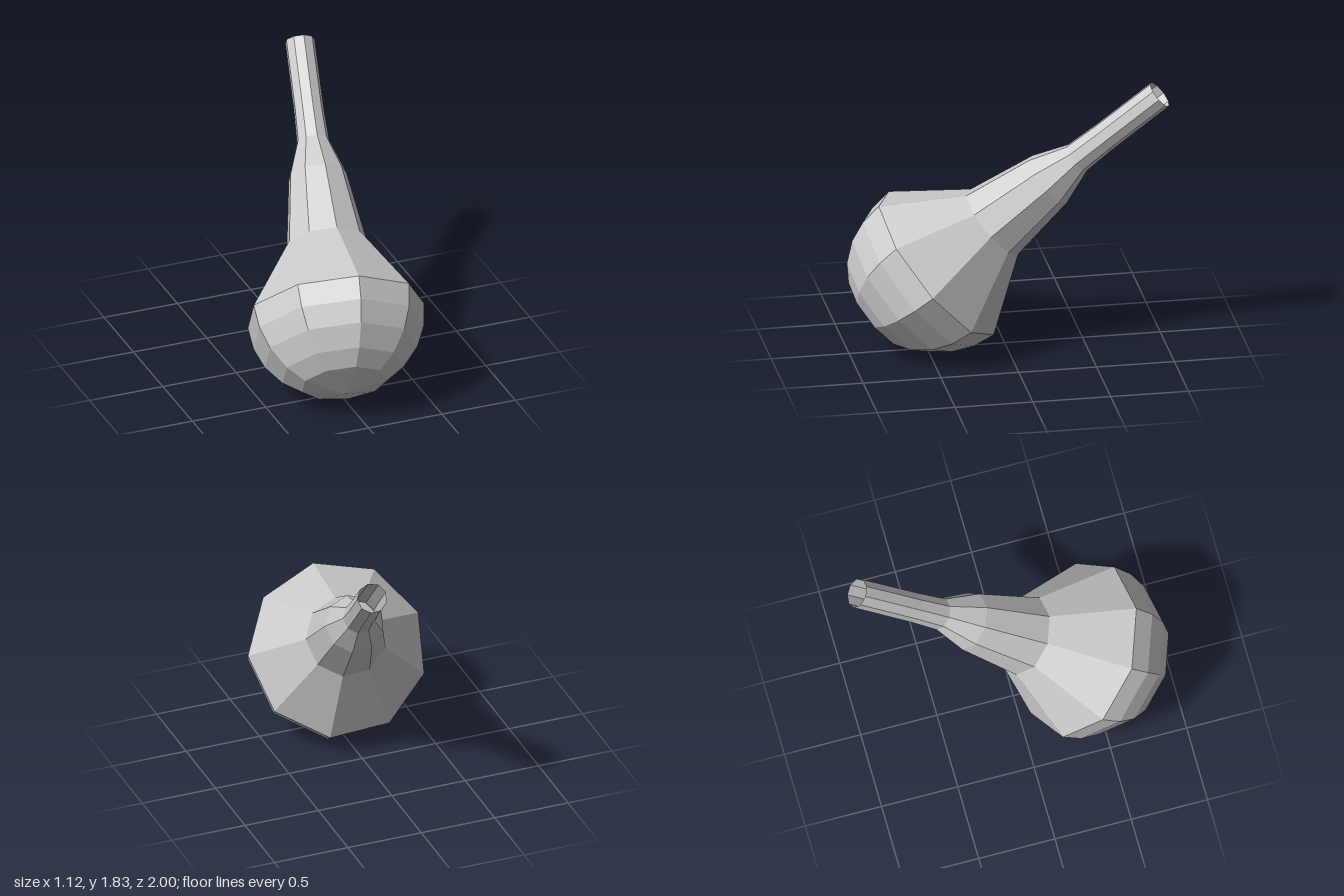
import * as THREE from 'three';

const SIDES = 9;
const BULB_RADIUS = 0.572;

export function createModel() {
  const group = new THREE.Group();
  group.name = 'bulbSyringe';

  // Profile along the axis: rounded bulb from its pole to its widest ring
  const profile = [0, 29, 43.5, 60, 75, 90].map((deg) => {
    const a = THREE.MathUtils.degToRad(deg);
    return new THREE.Vector2(BULB_RADIUS * Math.sin(a), BULB_RADIUS * (1 - Math.cos(a)));
  });
  // Tapering shoulder, then the narrow spout with an open end
  for (const [r, t] of [[0.259, 1.033], [0.188, 1.495], [0.104, 1.73], [0.096, 1.95], [0.095, 2.417]]) {
    profile.push(new THREE.Vector2(r, t));
  }

  const material = new THREE.MeshStandardMaterial({
    color: 0xcccccc, flatShading: true, side: THREE.DoubleSide,
  });
  const body = new THREE.Mesh(new THREE.LatheGeometry(profile, SIDES), material);
  body.name = 'bulbAndSpout';

  // Lean the axis back and sideways, with one corner of the rings facing up
  const pole = new THREE.Vector3(-0.1, 0.2, 0.86);
  const axis = new THREE.Vector3(0.31, 1.76, -0.94).sub(pole).normalize();
  const corner = new THREE.Vector3(0.013, 0.427, 0.375);
  corner.addScaledVector(axis, -corner.dot(axis)).normalize();
  const across = new THREE.Vector3().crossVectors(axis, corner);
  body.quaternion.setFromRotationMatrix(new THREE.Matrix4().makeBasis(across, axis, corner));
  body.position.copy(pole);
  group.add(body);

  return group;
}
